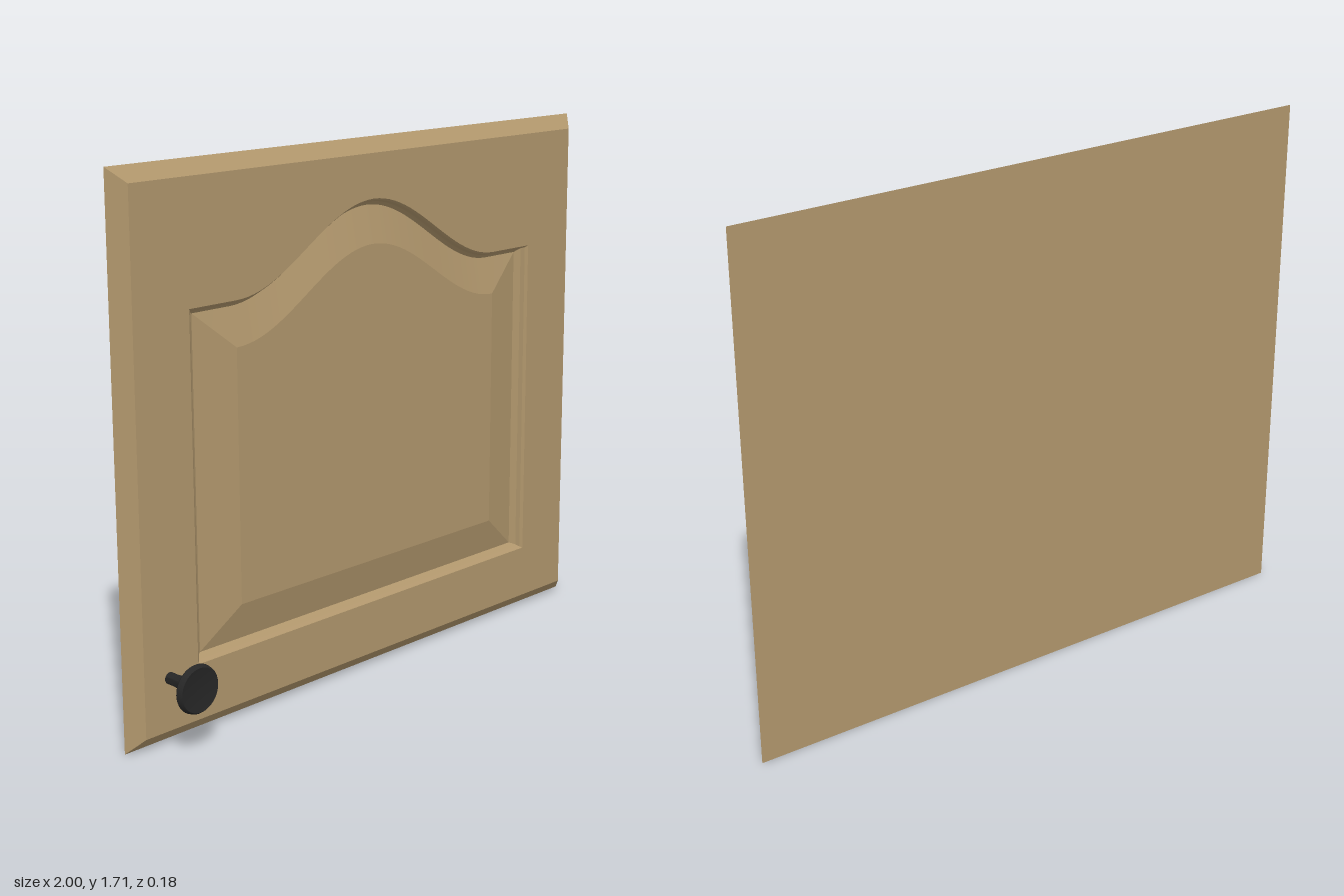
import * as THREE from 'three';
import { toCreasedNormals } from 'three/addons/utils/BufferGeometryUtils.js';

const wood = new THREE.MeshStandardMaterial({ color: 0xb0966c });
const dark = new THREE.MeshStandardMaterial({ color: 0x262626 });

const HEIGHT = 1.71, BACK = -0.09, FRONT = -0.045;
const ARCH_HALF = 0.57, ARCH_RISE = 0.235, ARCH_STEPS = 48;

// Rectangle loop, counter-clockwise from the front
function rectLoop(inset, z) {
  const x = 1 - inset, top = HEIGHT - inset;
  return [[-x, inset], [x, inset], [x, top], [-x, top]].map(([a, b]) => new THREE.Vector3(a, b, z));
}

// Loop with straight sides and a cathedral arch on top, counter-clockwise from the front
function archLoop(halfWidth, bottom, shoulder, z) {
  const loop = [
    new THREE.Vector3(-halfWidth, bottom, z),
    new THREE.Vector3(halfWidth, bottom, z),
    new THREE.Vector3(halfWidth, shoulder, z),
  ];
  for (let i = 0; i <= ARCH_STEPS; i++) {
    const t = 1 - (2 * i) / ARCH_STEPS;
    loop.push(new THREE.Vector3(t * ARCH_HALF, shoulder + ARCH_RISE * (0.5 + 0.5 * Math.cos(Math.PI * t)), z));
  }
  loop.push(new THREE.Vector3(-halfWidth, shoulder, z));
  return loop;
}

// Surface joining successive loops, each one lying inside the last
function bands(loops) {
  const pos = [];
  const tri = (a, b, c) => {
    if (new THREE.Triangle(a, b, c).getArea() > 1e-9) for (const p of [a, b, c]) pos.push(p.x, p.y, p.z);
  };
  for (let k = 0; k + 1 < loops.length; k++) {
    const a = loops[k], b = loops[k + 1], n = a.length;
    for (let i = 0; i < n; i++) {
      const j = (i + 1) % n;
      tri(a[i], a[j], b[j]);
      tri(a[i], b[j], b[i]);
    }
  }
  const geo = new THREE.BufferGeometry();
  geo.setAttribute('position', new THREE.Float32BufferAttribute(pos, 3));
  return toCreasedNormals(geo, 0.3);
}

// Flat face bounded by a loop, with an optional hole
function face(loop, hole) {
  const flat = (l) => l.map((p) => new THREE.Vector2(p.x, p.y));
  const shape = new THREE.Shape(flat(loop));
  if (hole) shape.holes.push(new THREE.Path(flat(hole)));
  return new THREE.ShapeGeometry(shape).translate(0, 0, loop[0].z);
}

export function createModel() {
  const group = new THREE.Group();
  const add = (name, geo, mat) => {
    const mesh = new THREE.Mesh(geo, mat);
    mesh.name = name;
    group.add(mesh);
    return mesh;
  };

  // Door slab: back, bevelled edge and front frame
  const outer = rectLoop(0, BACK), inner = rectLoop(0.045, FRONT);
  const opening = archLoop(0.75, 0.22, 1.29, FRONT);
  add('doorBack', new THREE.PlaneGeometry(2, HEIGHT).rotateY(Math.PI).translate(0, HEIGHT / 2, BACK), wood);
  add('bevelledEdge', bands([outer, inner]), wood);
  add('frontFrame', face(inner, opening), wood);

  // Stepped moulding running down into the groove
  const groove = archLoop(0.714, 0.24, 1.268, -0.078);
  add('panelMoulding', bands([
    opening,
    archLoop(0.741, 0.225, 1.284, -0.052),
    archLoop(0.736, 0.23, 1.279, -0.066),
    archLoop(0.724, 0.236, 1.273, -0.073),
    groove,
  ]), wood);

  // Raised panel: sloping border and flat field
  const field = archLoop(ARCH_HALF, 0.36, 1.15, -0.048);
  add('panelBevel', bands([groove, field]), wood);
  const clean = field.filter((p, i) => i === 0 || p.distanceTo(field[i - 1]) > 1e-6);
  add('panelField', face(clean), wood);

  // Knob: flared stem and round head
  const profile = [
    [0.018, 0], [0.018, 0.03], [0.02, 0.05], [0.025, 0.07], [0.034, 0.088], [0.047, 0.101],
    [0.062, 0.109], [0.072, 0.113], [0.075, 0.118], [0.073, 0.129], [0.068, 0.135], [0.055, 0.133], [0, 0.13],
  ].map(([r, h]) => new THREE.Vector2(r, h));
  const knob = add('knob', toCreasedNormals(new THREE.LatheGeometry(profile, 40).rotateX(Math.PI / 2), 0.7), dark);
  knob.position.set(-0.86, 0.21, FRONT);

  return group;
}
